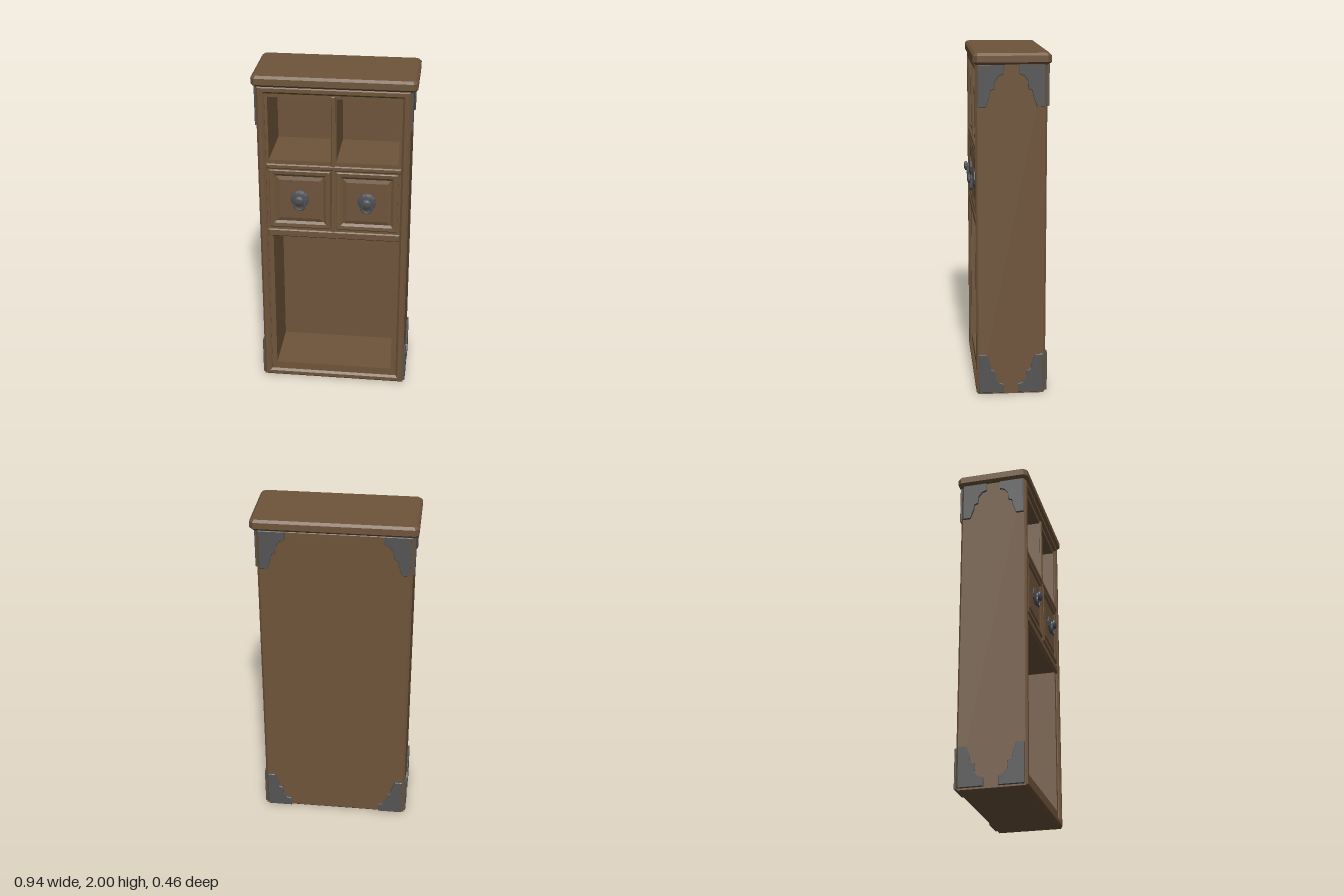
import * as THREE from 'three';

const wood = new THREE.MeshStandardMaterial({ color: 0x6f553b, flatShading: true });
wood.name = 'wood';
const iron = new THREE.MeshStandardMaterial({ color: 0x555555, flatShading: true });
iron.name = 'iron';
const knobMetal = new THREE.MeshStandardMaterial({ color: 0x4d5055, flatShading: true });
knobMetal.name = 'knobMetal';

function add(parent, name, geometry, material, x = 0, y = 0, z = 0) {
  const mesh = new THREE.Mesh(geometry, material);
  mesh.name = name;
  mesh.position.set(x, y, z);
  parent.add(mesh);
  return mesh;
}

const polygon = pts => pts.map(([x, y]) => new THREE.Vector2(x, y));
const rect = (x0, x1, y0, y1) => polygon([[x0, y0], [x1, y0], [x1, y1], [x0, y1]]);

// Extrusion from z0 to z1 with chamfered edges that stay inside the outline
function slab(outline, holes, z0, z1, bevel) {
  const shape = new THREE.Shape(outline);
  holes.forEach(h => shape.holes.push(new THREE.Path(h)));
  const g = new THREE.ExtrudeGeometry(shape, {
    depth: z1 - z0 - 2 * bevel, bevelEnabled: bevel > 0, bevelSize: bevel,
    bevelThickness: bevel, bevelOffset: -bevel, bevelSegments: 1,
  });
  return g.translate(0, 0, z0 + bevel);
}

// Stepped corner bracket, growing along the signs su and sv
function bracketGeometry(su, sv) {
  const pts = [[0.006, 0], [0.153, 0], [0.153, 0.052], [0.125, 0.062], [0.103, 0.09], [0.1, 0.135],
    [0.077, 0.145], [0.073, 0.175], [0.052, 0.235], [0.006, 0.235]];
  return slab(polygon(pts.map(([u, v]) => [u * su, v * sv])), [], -0.004, 0.011, 0.003);
}

function createDrawer(x) {
  const drawer = new THREE.Group();
  drawer.name = 'drawer';
  drawer.position.set(x, 1.246, 0.17);

  // Four-sided front: raised rim, sunken groove, raised field
  const front = new THREE.LatheGeometry(
    polygon([[1, 0], [1, 0.018], [0.97, 0.022], [0.86, 0.02], [0.78, 0.01], [0.66, 0.017], [0, 0.017]]
      .map(([r, h]) => [r * Math.SQRT2, h])), 4, Math.PI / 4);
  front.rotateX(Math.PI / 2).scale(0.179, 0.185, 1);
  add(drawer, 'drawerFront', front, wood);

  // Turned knob on a round plate, with a hanging ring
  const knob = new THREE.LatheGeometry(polygon([[0.056, 0], [0.056, 0.008], [0.04, 0.014], [0.022, 0.017],
    [0.019, 0.025], [0.03, 0.032], [0.029, 0.039], [0.016, 0.045], [0, 0.046]]), 12);
  add(drawer, 'knob', knob.rotateX(Math.PI / 2), knobMetal, 0, 0.005, 0.014);
  add(drawer, 'knobRing', new THREE.TorusGeometry(0.03, 0.007, 6, 14), knobMetal, 0, -0.03, 0.036);
  return drawer;
}

export function createModel() {
  const cabinet = new THREE.Group();
  cabinet.name = 'cabinet';
  const body = new THREE.Group();
  body.name = 'body';
  body.position.x = -0.004;
  cabinet.add(body);

  // Outer shell with chamfered corners
  add(body, 'outerShell', slab(rect(-0.438, 0.438, 0, 1.94), [rect(-0.391, 0.391, 0.045, 1.895)],
    -0.21, 0.195, 0.012), wood);

  // Inner carcass with two upper shelves and a tall lower compartment
  const openings = [
    rect(-0.375, -0.017, 1.488, 1.873),
    rect(0.017, 0.375, 1.488, 1.873),
    rect(-0.36, 0.36, 0.09, 0.996),
  ];
  add(body, 'compartments', slab(rect(-0.396, 0.396, 0.03, 1.91), openings, -0.173, 0.178, 0), wood);
  add(body, 'backPanel', new THREE.BoxGeometry(0.82, 1.88, 0.041), wood, 0, 0.97, -0.1905);

  // Rails above and below the drawers, and the centre divider
  for (const [y, h] of [[1.022, 0.046], [1.452, 0.03]]) {
    add(body, 'rail', slab(rect(-0.391, 0.391, y - h / 2, y + h / 2), [], 0.15, 0.192, 0.006), wood);
  }
  add(body, 'divider', slab(rect(-0.012, 0.012, 1.03, 1.89), [], 0.15, 0.19, 0.005), wood);

  // Drawers
  for (const s of [-1, 1]) body.add(createDrawer(s * 0.197));

  // Top board with clipped corners
  const w = 0.468, d = 0.2185, c = 0.022;
  const top = slab(polygon([[-w + c, -d], [w - c, -d], [w, -d + c], [w, d - c],
    [w - c, d], [-w + c, d], [-w, d - c], [-w, -d + c]]), [], 0, 0.064, 0.014);
  add(cabinet, 'topBoard', top.rotateX(-Math.PI / 2), wood, 0, 1.936, -0.0115);

  // Corner brackets on both sides and the back
  for (const v of [-1, 1]) {
    const y = v > 0 ? 0.01 : 1.936;
    for (const u of [-1, 1]) {
      for (const s of [-1, 1]) {
        const side = bracketGeometry(u, v).rotateY(s * Math.PI / 2);
        add(body, 'sideBracket', side, iron, s * 0.438, y, -0.0075 + s * u * 0.194);
      }
      const back = bracketGeometry(u, v).rotateY(Math.PI);
      add(body, 'backBracket', back, iron, u * 0.43, y, -0.211);
    }
  }
  return cabinet;
}
